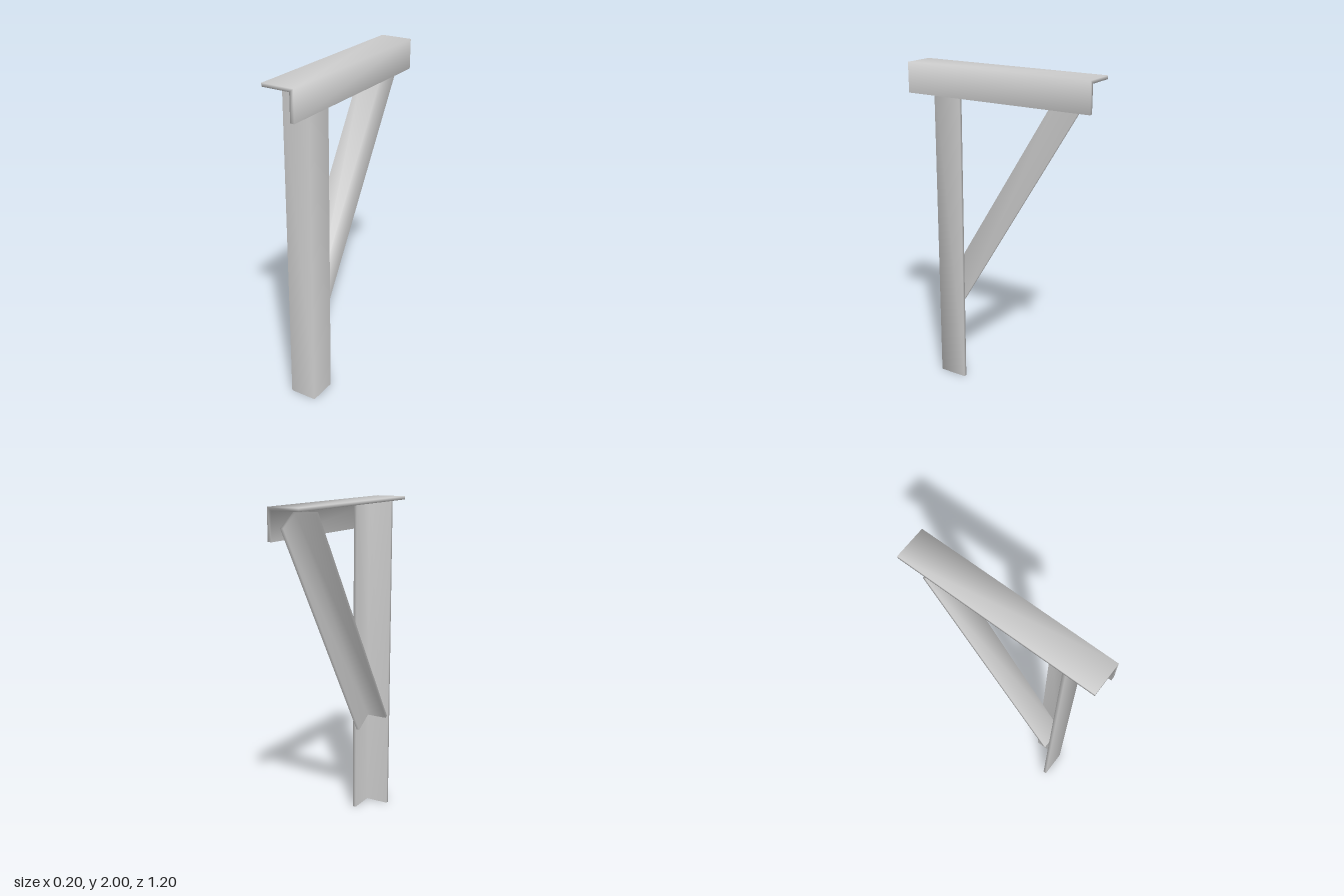
import * as THREE from 'three';
import { mergeVertices } from 'three/addons/utils/BufferGeometryUtils.js';

const material = new THREE.MeshStandardMaterial({ color: 0xcccccc });

// L-section bar along +z: outer corner at the origin, legs of signed length w (x) and h (y)
function angleBar(name, w, h, tx, ty, length) {
  const sx = Math.sign(w) * tx;
  const sy = Math.sign(h) * ty;
  const profile = new THREE.Shape([
    [0, 0], [w, 0], [w, sy], [sx, sy], [sx, h], [0, h],
  ].map(([x, y]) => new THREE.Vector2(x, y)));
  let geometry = new THREE.ExtrudeGeometry(profile, { depth: length, bevelEnabled: false });
  // weld the corners so the shading runs softly round the edges
  geometry.deleteAttribute('normal');
  geometry.deleteAttribute('uv');
  geometry = mergeVertices(geometry);
  geometry.computeVertexNormals();
  const mesh = new THREE.Mesh(geometry, material);
  mesh.name = name;
  return mesh;
}

export function createModel() {
  const group = new THREE.Group();
  group.name = 'angleBracket';

  // horizontal top rail, one leg flat on top and one hanging on the left side
  const rail = angleBar('topRail', -0.195, -0.18, 0.025, 0.02, 1.2);
  rail.position.set(0.097, 2, -0.6);

  // upright post, corner at the front left
  const post = angleBar('post', -0.167, 0.18, 0.02, 0.02, 1.98);
  post.rotation.x = -Math.PI / 2;
  post.position.set(0.07, 0, 0.432);

  // diagonal brace, square-cut, tucked inside the post and under the rail
  const brace = angleBar('brace', -0.15, 0.155, 0.02, 0.02, 1.575);
  brace.rotation.x = -2.114;
  brace.position.set(0.05, 0.62, 0.393);

  group.add(rail, post, brace);
  return group;
}
